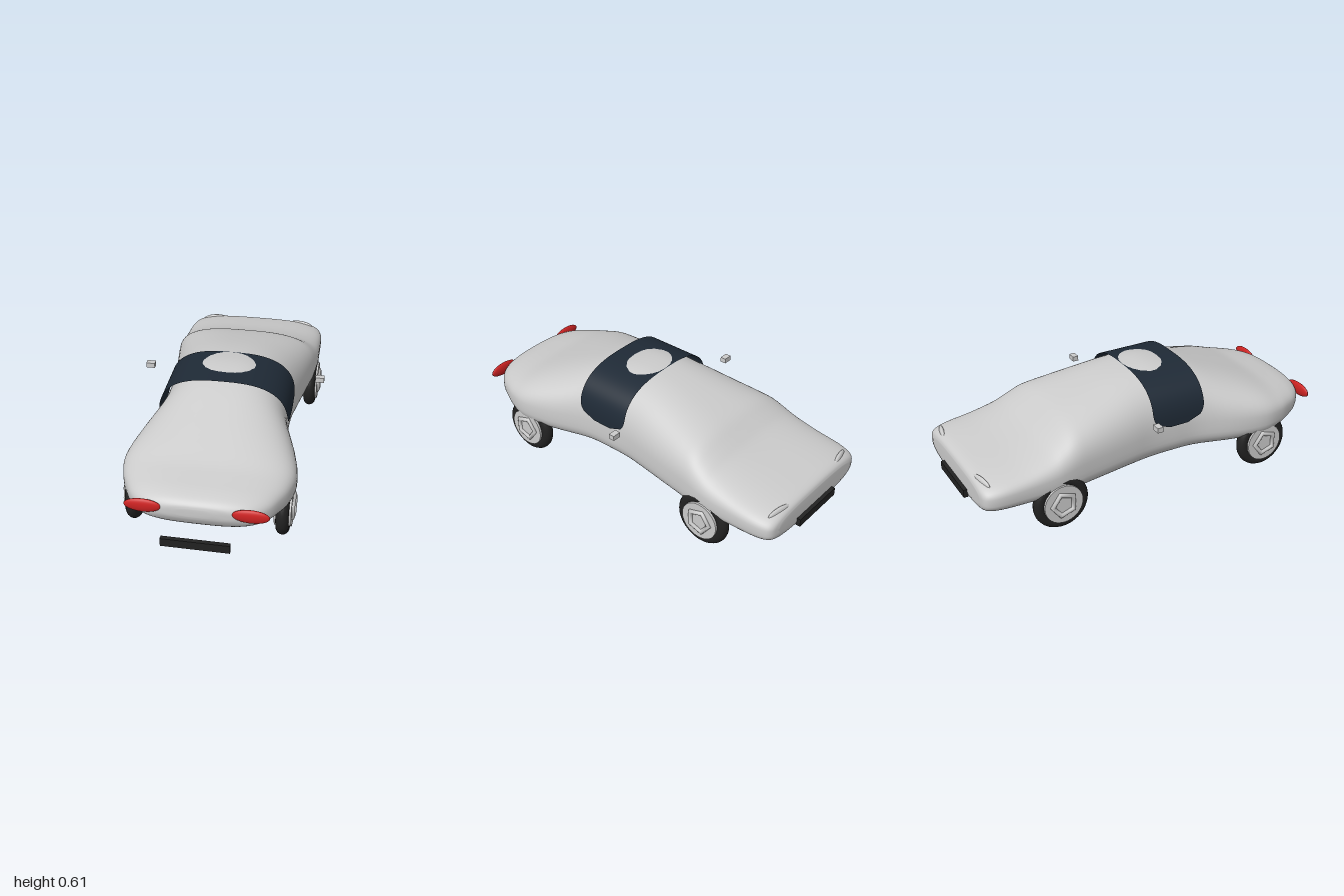
import * as THREE from 'three';

const paint = (color = 0xcccccc, side = THREE.FrontSide) => new THREE.MeshStandardMaterial({ color, side });
const grey = paint(), rubber = paint(0x222222), red = paint(0xcc2222), glass = paint(0x1f2a36, THREE.DoubleSide);

function add(parent, name, geometry, material, x = 0, y = 0, z = 0) {
  const mesh = new THREE.Mesh(geometry, material);
  mesh.name = name;
  mesh.position.set(x, y, z);
  parent.add(mesh);
  return mesh;
}

const power = (v, p) => Math.sign(v) * Math.abs(v) ** p;

// Indexed grid surface from rows of points
function gridGeometry(points, rows, cols, closed) {
  const index = [];
  for (let i = 0; i < rows - 1; i++) {
    for (let j = 0; j < (closed ? cols : cols - 1); j++) {
      const k = (j + 1) % cols;
      const a = i * cols + j, b = i * cols + k, c = a + cols, d = b + cols;
      index.push(a, c, b, b, c, d);
    }
  }
  if (closed) {
    // Flat end caps
    const last = (rows - 1) * cols;
    for (let j = 1; j < cols - 1; j++) {
      index.push(0, j, j + 1, last, last + j + 1, last + j);
    }
  }
  const g = new THREE.BufferGeometry();
  g.setAttribute('position', new THREE.Float32BufferAttribute(points, 3));
  g.setIndex(index);
  g.computeVertexNormals();
  return g;
}

// Body sections, nose to tail: z, half width, top, bottom, widest height, roundness
const sections = [
  [0.960, 0.09, 0.325, 0.285, 0.305, 2.4],
  [0.952, 0.19, 0.345, 0.26, 0.30, 2.5],
  [0.925, 0.27, 0.365, 0.22, 0.295, 2.6],
  [0.87, 0.33, 0.383, 0.19, 0.29, 2.7],
  [0.80, 0.37, 0.397, 0.168, 0.29, 2.8],
  [0.72, 0.405, 0.415, 0.15, 0.29, 2.8],
  [0.61, 0.425, 0.455, 0.14, 0.29, 2.7],
  [0.45, 0.395, 0.515, 0.135, 0.29, 2.5],
  [0.25, 0.332, 0.586, 0.135, 0.29, 2.5],
  [0.10, 0.322, 0.609, 0.135, 0.29, 2.5],
  [-0.03, 0.325, 0.601, 0.135, 0.29, 2.5],
  [-0.15, 0.342, 0.584, 0.135, 0.29, 2.5],
  [-0.28, 0.362, 0.556, 0.135, 0.285, 2.6],
  [-0.40, 0.38, 0.525, 0.135, 0.28, 2.8],
  [-0.48, 0.392, 0.496, 0.135, 0.275, 3],
  [-0.55, 0.40, 0.452, 0.135, 0.27, 3],
  [-0.62, 0.403, 0.412, 0.137, 0.265, 3],
  [-0.74, 0.40, 0.376, 0.14, 0.26, 3],
  [-0.87, 0.395, 0.352, 0.147, 0.255, 3],
  [-0.94, 0.38, 0.337, 0.155, 0.25, 3],
  [-0.97, 0.355, 0.32, 0.17, 0.25, 3],
  [-0.98, 0.31, 0.297, 0.195, 0.25, 3],
];

function bodyGeometry() {
  const spline = k => new THREE.CatmullRomCurve3(
    sections.map(s => new THREE.Vector3(s[k], s[k + 1], s[k + 2])), false, 'catmullrom', 0.5);
  const outline = spline(0), shape = spline(3);
  const rows = (sections.length - 1) * 4 + 1, cols = 72, points = [];
  for (let i = 0; i < rows; i++) {
    const t = i / (rows - 1);
    const { x: z, y: width, z: top } = outline.getPoint(t);
    const { x: bottom, y: mid, z: n } = shape.getPoint(t);
    for (let j = 0; j < cols; j++) {
      const a = j / cols * Math.PI * 2, s = Math.sin(a);
      const m = s >= 0 ? n : 3;
      points.push(
        width * power(Math.cos(a), 2 / m),
        mid + (s >= 0 ? top - mid : mid - bottom) * power(s, 2 / m), z);
    }
  }
  return gridGeometry(points, rows, cols, true);
}

// Wraparound window band, narrowing to rounded lower ends
function bandGeometry() {
  const rows = 9, cols = 65, points = [];
  for (let i = 0; i < rows; i++) {
    for (let j = 0; j < cols; j++) {
      const a = j / (cols - 1) * Math.PI;
      const x = 0.333 * power(Math.cos(a), 2 / 2.8);
      const y = 0.357 + 0.244 * power(Math.max(Math.sin(a), 0), 2 / 2.8);
      const lower = Math.max(0, (0.46 - y) / 0.103);
      const half = 0.152 * (0.35 + 0.65 * Math.sqrt(Math.max(0, 1 - lower ** 2.6)));
      points.push(x, y, 0.12 + half * (1 - 2 * i / (rows - 1)));
    }
  }
  return gridGeometry(points, rows, cols, false);
}

function ellipsoid(rx, ry, rz) {
  return new THREE.SphereGeometry(1, 32, 20).scale(rx, ry, rz);
}

// Tyre, hub disc and five-sided trim ring
function makeWheel(name, side, z) {
  const wheel = new THREE.Group();
  wheel.name = name;
  wheel.position.set(side * 0.37, 0.147, z);
  const turn = Math.PI / 2;
  add(wheel, 'tyre', new THREE.TorusGeometry(0.115, 0.032, 16, 48).rotateY(turn), rubber);
  add(wheel, 'hub', new THREE.CylinderGeometry(0.103, 0.103, 0.083, 40).rotateZ(turn), grey);
  add(wheel, 'hubTrim', new THREE.TorusGeometry(0.062, 0.014, 8, 5).rotateY(turn), grey, side * 0.041);
  return wheel;
}

export function createModel() {
  const car = new THREE.Group();
  car.name = 'car';

  add(car, 'body', bodyGeometry(), grey);
  add(car, 'windowBand', bandGeometry(), glass);
  add(car, 'frontBumper', new THREE.BoxGeometry(0.33, 0.043, 0.022), rubber, 0, 0.149, 0.989);
  add(car, 'rearBumper', new THREE.BoxGeometry(0.31, 0.043, 0.025), rubber, 0, 0.195, -0.987);

  for (const side of [1, -1]) {
    const label = side > 0 ? 'left' : 'right';
    add(car, label + 'FrontLight', ellipsoid(0.088, 0.036, 0.016), red, side * 0.253, 0.317, 0.951);
    const rear = add(car, label + 'RearLight', ellipsoid(0.075, 0.03, 0.014), grey, side * 0.262, 0.307, -0.943);
    rear.rotation.y = -side * 0.2;
    add(car, label + 'Mirror', new THREE.BoxGeometry(0.046, 0.027, 0.032), grey, side * 0.457, 0.455, -0.082);
    car.add(makeWheel(label + 'FrontWheel', side, 0.617));
    car.add(makeWheel(label + 'RearWheel', side, -0.583));
  }
  return car;
}
